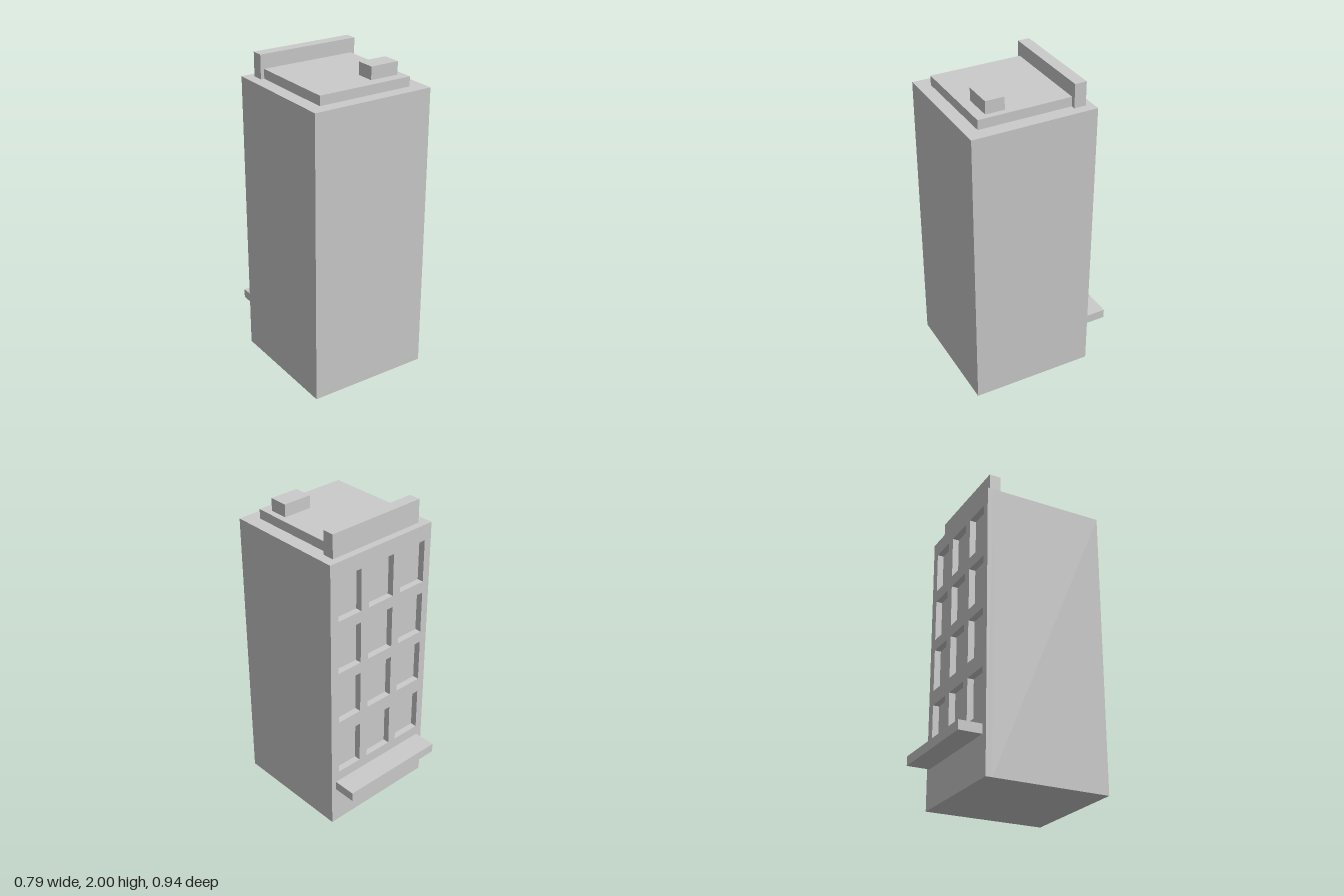
import * as THREE from 'three';

const material = new THREE.MeshStandardMaterial({ color: 0xcccccc, flatShading: true });

// Adds a box given by its extents on each axis
function addBox(group, name, [x0, x1], [y0, y1], [z0, z1]) {
  const mesh = new THREE.Mesh(new THREE.BoxGeometry(x1 - x0, y1 - y0, z1 - z0), material);
  mesh.position.set((x0 + x1) / 2, (y0 + y1) / 2, (z0 + z1) / 2);
  mesh.name = name;
  group.add(mesh);
}

// Rectangle outline, usable as a shape or a hole
function rectangle(path, [x0, x1], [y0, y1]) {
  path.moveTo(x0, y0);
  path.lineTo(x1, y0);
  path.lineTo(x1, y1);
  path.lineTo(x0, y1);
  path.closePath();
  return path;
}

export function createModel() {
  const group = new THREE.Group();
  group.name = 'building';

  const width = [-0.398, 0.396];
  const height = [0, 1.85];
  const back = -0.323;
  const recess = 0.042;

  // Main block; its back face forms the window panes
  addBox(group, 'mainBlock', width, height, [back + recess, 0.47]);

  // Back facade with a grid of recessed windows
  const columns = [[-0.347, -0.152], [-0.093, 0.1], [0.161, 0.337]];
  const rows = [[0.383, 0.666], [0.763, 1.044], [1.118, 1.396], [1.472, 1.748]];
  const wall = rectangle(new THREE.Shape(), width, height);
  for (const column of columns) {
    for (const row of rows) wall.holes.push(rectangle(new THREE.Path(), column, row));
  }
  const facade = new THREE.Mesh(
    new THREE.ExtrudeGeometry(wall, { depth: recess, bevelEnabled: false }), material);
  facade.position.z = back;
  facade.name = 'windowFacade';
  group.add(facade);

  // Canopy over the entrance side
  addBox(group, 'canopy', [-0.355, 0.362], [0.255, 0.315], [-0.472, back]);

  // Roof parts
  addBox(group, 'roofSlab', [-0.312, 0.308], [1.85, 1.91], [-0.203, 0.388]);
  addBox(group, 'parapet', [-0.335, 0.336], [1.85, 2], [-0.278, -0.203]);
  addBox(group, 'roofVent', [0.081, 0.269], [1.91, 1.99], [0.202, 0.322]);

  return group;
}
